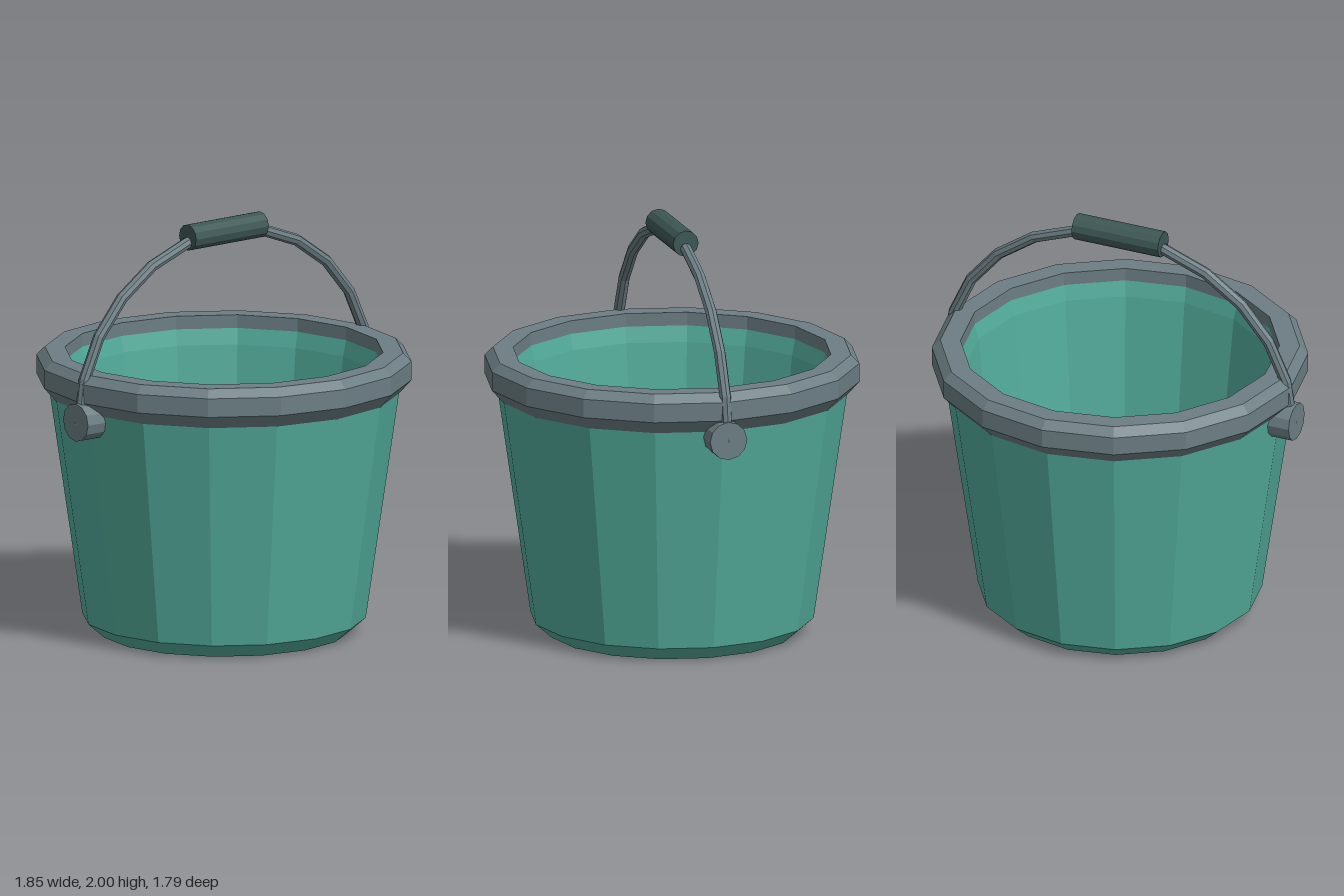
import * as THREE from 'three';

const SIDES = 16;

const teal = new THREE.MeshStandardMaterial({ color: 0x52ab9a });
teal.name = 'teal bucket';
const grey = new THREE.MeshStandardMaterial({ color: 0x6c7e84 });
grey.name = 'grey metal';
const dark = new THREE.MeshStandardMaterial({ color: 0x3d5755 });
dark.name = 'dark grip';

// Faceted mesh: split the corners so every face has its own normal
function facetedMesh(name, geometry, material) {
  const flat = geometry.toNonIndexed();
  flat.computeVertexNormals();
  const mesh = new THREE.Mesh(flat, material);
  mesh.name = name;
  return mesh;
}

function lathe(points) {
  return new THREE.LatheGeometry(points.map(([r, y]) => new THREE.Vector2(r, y)), SIDES);
}

// Half ellipse from one pivot over the top to the other
class HandleArc extends THREE.Curve {
  getPoint(t, target = new THREE.Vector3()) {
    const a = Math.PI * t;
    return target.set(0.895 * Math.cos(a), 1.13 + 0.808 * Math.sin(a), 0);
  }
  // Even angles rather than even lengths
  getUtoTmapping(u) {
    return u;
  }
}

export function createModel() {
  const model = new THREE.Group();
  model.name = 'bucket';

  // Tapered shell: underside, outer wall, lip, inner wall, floor
  model.add(facetedMesh('shell', lathe([
    [0, 0], [0.595, 0], [0.675, 0.07], [0.84, 1.21], [0.84, 1.3], [0.758, 1.3],
    [0.738, 1.22], [0.615, 0.16], [0.56, 0.09], [0, 0.09],
  ]), teal));

  // Thick bevelled rim, closed ring
  model.add(facetedMesh('rim', lathe([
    [0.8, 1.165], [0.835, 1.165], [0.893, 1.23], [0.893, 1.32], [0.853, 1.36],
    [0.757, 1.36], [0.757, 1.295], [0.8, 1.295], [0.8, 1.165],
  ]), grey));

  // Pivot pegs on both sides
  for (const [side, name] of [[1, 'leftPivot'], [-1, 'rightPivot']]) {
    const pivot = facetedMesh(name, new THREE.CylinderGeometry(0.092, 0.092, 0.13, 12), grey);
    pivot.rotation.z = Math.PI / 2;
    pivot.position.set(side * 0.855, 1.138, 0);
    model.add(pivot);
  }

  // Wire handle and its grip
  model.add(facetedMesh('handle', new THREE.TubeGeometry(new HandleArc(), 12, 0.028, 8, false), grey));

  const grip = facetedMesh('grip', new THREE.CylinderGeometry(0.063, 0.063, 0.45, 12), dark);
  grip.rotation.z = Math.PI / 2;
  grip.position.y = 1.937;
  model.add(grip);

  return model;
}
